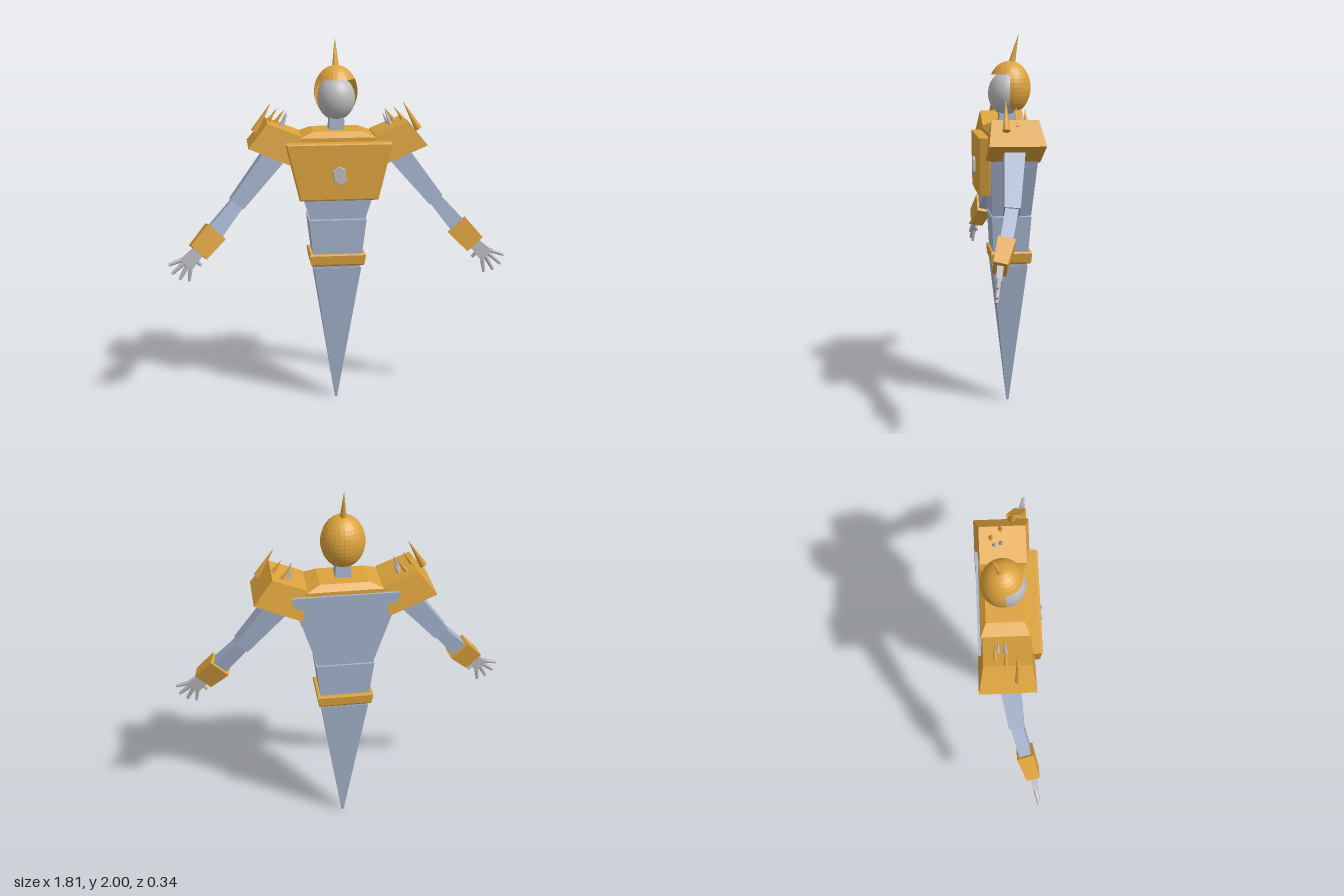
import * as THREE from 'three';

const mat = (name, color, extra = {}) => {
  const m = new THREE.MeshStandardMaterial({ color, ...extra });
  m.name = name;
  return m;
};
const V = (p) => new THREE.Vector3(...p);

export function createModel() {
  const gold = mat('goldArmour', 0xdca23c);
  const helmetGold = gold.clone();
  helmetGold.flatShading = true;
  helmetGold.side = THREE.DoubleSide;
  const blue = mat('blueGreyBody', 0xa6b4ce);
  const pale = mat('paleGrey', 0xbcbcc0);

  const model = new THREE.Group();
  model.name = 'armouredFigure';

  const add = (parent, name, geometry, material) => {
    const mesh = new THREE.Mesh(geometry, material);
    mesh.name = name;
    parent.add(mesh);
    return mesh;
  };

  // Flat-sided solid through four-cornered rings (anticlockwise seen from the last ring's end)
  function loft(rings) {
    const pos = [];
    const quad = (a, b, c, d) => [a, b, c, a, c, d].forEach((p) => pos.push(p.x, p.y, p.z));
    for (let i = 0; i + 1 < rings.length; i++)
      for (let j = 0; j < 4; j++) {
        const k = (j + 1) % 4;
        quad(rings[i][j], rings[i][k], rings[i + 1][k], rings[i + 1][j]);
      }
    quad(...[...rings[0]].reverse());
    quad(...rings[rings.length - 1]);
    const g = new THREE.BufferGeometry();
    g.setAttribute('position', new THREE.Float32BufferAttribute(pos, 3));
    g.computeVertexNormals();
    return g;
  }
  // Ring spanning (x0,y0) to (x1,y1), between a front and a back z
  const ring = (x0, y0, x1, y1, front, back) =>
    [[x0, y0, front], [x1, y1, front], [x1, y1, back], [x0, y0, back]].map(V);
  const level = ([y, half, front, back]) => ring(-half, y, half, y, front, back);
  const trunk = (name, material, levels) => add(model, name, loft(levels.map(level)), material);

  // Tapered bar between two points; each end has [width, depth]
  function bar(parent, name, a, b, sizeA, sizeB, material) {
    const A = V(a), B = V(b);
    const d = B.clone().sub(A).normalize();
    const w = new THREE.Vector3(0, 0, 1).cross(d).normalize();
    const t = d.clone().cross(w);
    const end = (c, [sw, st]) => [[-1, -1], [1, -1], [1, 1], [-1, 1]].map(([u, v]) =>
      c.clone().addScaledVector(w, u * sw / 2).addScaledVector(t, v * st / 2));
    return add(parent, name, loft([end(A, sizeA), end(B, sizeB)]), material);
  }
  // Round tapered rod between two points
  function rod(parent, name, a, b, rA, rB, material) {
    const A = V(a), B = V(b), d = B.clone().sub(A);
    const mesh = add(parent, name, new THREE.CylinderGeometry(rB, rA, d.length(), 8), material);
    mesh.position.copy(A).add(B).multiplyScalar(0.5);
    mesh.quaternion.setFromUnitVectors(new THREE.Vector3(0, 1, 0), d.normalize());
    return mesh;
  }

  // Trunk: [y, half width, front z, back z]
  trunk('tail', blue, [[0, 0.006, -0.014, -0.026], [0.782, 0.128, 0.07, -0.115]]);
  trunk('abdomen', blue, [[0.782, 0.122, 0.066, -0.112], [1.052, 0.155, 0.078, -0.132]]);
  trunk('belt', gold, [[0.797, 0.138, 0.074, -0.126], [0.806, 0.144, 0.079, -0.132],
    [0.855, 0.152, 0.083, -0.137], [0.863, 0.147, 0.079, -0.133]]);
  trunk('chest', blue, [[1.058, 0.148, 0.075, -0.13], [1.48, 0.28, 0.1, -0.163]]);
  trunk('collar', gold, [[1.47, 0.2, 0.1, -0.15], [1.5, 0.2, 0.1, -0.15], [1.53, 0.128, 0.07, -0.12]]);
  trunk('neck', blue, [[1.52, 0.042, 0.03, -0.055], [1.64, 0.036, 0.025, -0.05]]);

  // Breastplate with bevelled rim
  const plate = new THREE.Shape([[-0.2, 1.185], [0.2, 1.185], [0.27, 1.472], [-0.27, 1.472]]
    .map(([x, y]) => new THREE.Vector2(x, y)));
  add(model, 'breastplate', new THREE.ExtrudeGeometry(plate, {
    depth: 0.046, bevelSize: 0.009, bevelThickness: 0.009, bevelSegments: 2,
  }), gold).position.z = 0.1;

  // Chest gem
  const gem = new THREE.Shape([[-0.034, 1.335], [-0.026, 1.28], [0.012, 1.262], [0.034, 1.285],
    [0.026, 1.345], [0, 1.358]].map(([x, y]) => new THREE.Vector2(x, y)));
  add(model, 'chestGem', new THREE.ExtrudeGeometry(gem, {
    depth: 0.012, bevelSize: 0.003, bevelThickness: 0.005, bevelSegments: 1,
  }), pale).position.z = 0.152;

  // Head: smooth face inside a faceted open helmet
  const face = add(model, 'face', new THREE.SphereGeometry(1, 32, 24), pale);
  face.scale.set(0.1, 0.116, 0.098);
  face.position.set(0, 1.694, -0.014);
  const helmet = new THREE.Group();
  helmet.name = 'helmet';
  helmet.scale.set(0.115, 0.14, 0.113);
  helmet.position.set(0, 1.725, -0.03);
  model.add(helmet);
  const brow = Math.PI / 3;
  add(helmet, 'helmetCap', new THREE.SphereGeometry(1, 24, 6, 0, Math.PI * 2, 0, brow), helmetGold);
  add(helmet, 'helmetBack', new THREE.SphereGeometry(1, 14, 9, Math.PI - 0.09, Math.PI + 0.18, brow, 1.5), helmetGold);
  rod(model, 'helmetHorn', [0, 1.845, -0.04], [0, 2, -0.077], 0.019, 0.001, gold);

  // Left side; the right side mirrors it
  function side(name, sign) {
    const g = new THREE.Group();
    g.name = name;
    g.scale.x = sign;
    model.add(g);

    // Shoulder guard and its spikes
    add(g, 'shoulderGuard', loft([
      ring(0.225, 1.35, 0.47, 1.455, 0.118, -0.167),
      ring(0.195, 1.51, 0.37, 1.58, 0.098, -0.14),
    ]), gold);
    [
      [[0.435, 1.53, 0.03], [0.35, 1.675, 0.025], 0.02, gold],
      [[0.385, 1.54, -0.03], [0.312, 1.64, -0.03], 0.017, gold],
      [[0.335, 1.54, -0.08], [0.27, 1.625, -0.08], 0.015, gold],
      [[0.295, 1.54, -0.03], [0.262, 1.625, -0.03], 0.013, pale],
      [[0.29, 1.535, -0.065], [0.255, 1.605, -0.065], 0.012, pale],
    ].forEach(([a, b, r, m]) => rod(g, 'shoulderSpike', a, b, r, 0.001, m));

    // Arm
    bar(g, 'upperArm', [0.3, 1.435, -0.025], [0.537, 1.142, 0.015], [0.122, 0.11], [0.086, 0.08], blue);
    bar(g, 'forearm', [0.525, 1.155, 0.012], [0.665, 0.99, 0.06], [0.07, 0.066], [0.09, 0.062], blue);
    bar(g, 'bracer', [0.65, 1.005, 0.054], [0.746, 0.903, 0.094], [0.123, 0.088], [0.112, 0.07], gold);

    // Hand
    bar(g, 'palm', [0.74, 0.91, 0.092], [0.81, 0.84, 0.106], [0.06, 0.034], [0.082, 0.026], pale);
    [
      [[0.832, 0.868, 0.106], [0.9, 0.845, 0.12]],
      [[0.822, 0.85, 0.107], [0.885, 0.795, 0.122]],
      [[0.803, 0.838, 0.107], [0.845, 0.762, 0.12]],
      [[0.786, 0.828, 0.105], [0.796, 0.75, 0.112]],
      [[0.775, 0.878, 0.1], [0.732, 0.83, 0.09]],
    ].forEach(([a, b], i) => rod(g, i < 4 ? 'finger' : 'thumb', a, b, 0.013, 0.008, pale));
  }
  side('leftArm', 1);
  side('rightArm', -1);
  return model;
}
